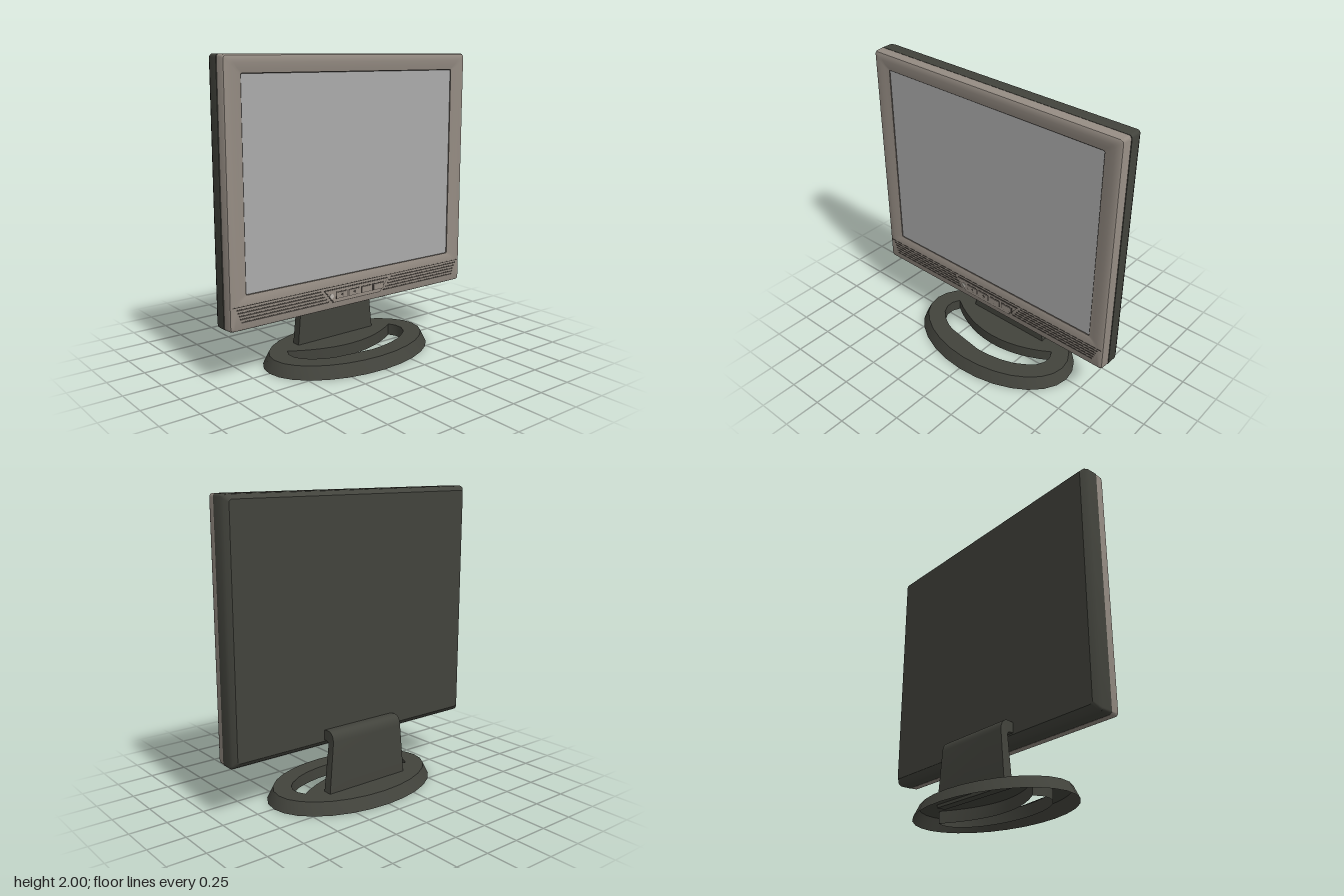
import * as THREE from 'three';
import { toCreasedNormals } from 'three/addons/utils/BufferGeometryUtils.js';

const flat = (name, color, side = THREE.FrontSide) => {
  const m = new THREE.MeshStandardMaterial({ color, side });
  m.name = name;
  return m;
};

// Rounded rectangle loop, counterclockwise seen from the front
function ring([halfW, y0, y1, r, z], segments = 4) {
  const points = [];
  const corners = [[halfW - r, y0 + r], [halfW - r, y1 - r], [r - halfW, y1 - r], [r - halfW, y0 + r]];
  corners.forEach(([cx, cy], k) => {
    for (let i = 0; i <= segments; i++) {
      const a = (k - 1 + i / segments) * Math.PI / 2;
      points.push([cx + r * Math.cos(a), cy + r * Math.sin(a), z]);
    }
  });
  return points;
}

// Skin joining successive rounded rectangles
function loft(sections) {
  const rings = sections.map(s => ring(s));
  const n = rings[0].length, index = [];
  for (let i = 0; i < rings.length - 1; i++) {
    for (let j = 0; j < n; j++) {
      const a = i * n + j, b = i * n + (j + 1) % n;
      index.push(a, b, b + n, a, b + n, a + n);
    }
  }
  const g = new THREE.BufferGeometry();
  g.setAttribute('position', new THREE.Float32BufferAttribute(rings.flat(2), 3));
  g.setIndex(index);
  return toCreasedNormals(g, 0.5);
}

const polygon = pts => new THREE.Shape(pts.map(p => new THREE.Vector2(...p)));

// Thin plate facing the front
function plate(pts, z, depth = 0.004) {
  return new THREE.ExtrudeGeometry(polygon(pts), { depth, bevelEnabled: false }).translate(0, 0, z);
}
const rect = (x0, x1, y0, y1) => [[x0, y0], [x1, y0], [x1, y1], [x0, y1]];

export function createModel() {
  const dark = flat('charcoal plastic', 0x42433c);
  const darkShell = flat('charcoal shell', 0x42433c, THREE.DoubleSide);
  const taupe = flat('taupe plastic', 0x958c83);
  const glass = flat('grey screen', 0xaaaaaa);
  const slot = flat('dark slot', 0x47423d);
  const pale = flat('pale lamp', 0xbdb8b0);

  const model = new THREE.Group();
  model.name = 'monitor';
  const add = (name, geometry, material, parent = model) => {
    const mesh = new THREE.Mesh(geometry, material);
    mesh.name = name;
    parent.add(mesh);
    return mesh;
  };

  // Display housing
  add('backShell', loft([
    [0, 1.18, 1.18, 0, -0.085],
    [0.93, 0.405, 1.97, 0.02, -0.085],
    [0.955, 0.375, 1.995, 0.02, -0.06],
    [0.963, 0.365, 2.0, 0.02, -0.04],
    [0.963, 0.365, 2.0, 0.02, 0.033],
    [0.94, 0.38, 1.98, 0.02, 0.033],
  ]), dark);
  add('bezel', loft([
    [0.94, 0.385, 1.98, 0.02, 0.036],
    [0.96, 0.365, 2.0, 0.02, 0.036],
    [0.957, 0.366, 1.998, 0.02, 0.085],
    [0.952, 0.371, 1.992, 0.02, 0.096],
    [0.94, 0.383, 1.98, 0.02, 0.102],
    [0.905, 0.535, 1.95, 0.02, 0.102],
    [0.875, 0.558, 1.922, 0.015, 0.098],
    [0.842, 0.577, 1.893, 0.012, 0.092],
  ]), taupe);
  add('screenGasket', loft([
    [0.842, 0.577, 1.893, 0.012, 0.092],
    [0.836, 0.583, 1.887, 0.01, 0.086],
  ]), slot);
  add('screen', plate(rect(-0.837, 0.837, 0.582, 1.888), 0.081, 0.005), glass);

  // Lower trim: seam and mirrored speaker slots
  const face = 0.1005;
  add('trimSeam', plate(rect(-0.94, 0.94, 0.516, 0.521), face, 0.003), slot);
  const grille = new THREE.Group();
  grille.name = 'speakerGrille';
  model.add(grille);
  for (const side of [-1, 1]) {
    for (let i = 0; i < 5; i++) {
      const y = 0.5 - i * 0.02;
      const inner = 0.22 + (y - 0.407) * 0.78, outer = 0.915 - i * 0.008;
      const x = [side * inner, side * outer].sort((a, b) => a - b);
      add('grilleSlot', plate(rect(x[0], x[1], y - 0.0045, y + 0.0045), face, 0.003), slot, grille);
    }
  }

  // Control panel with an outlined tray, lamp and four buttons
  const controls = new THREE.Group();
  controls.name = 'controlPanel';
  model.add(controls);
  const tray = inset => [[-0.2 + inset, 0.41 + inset], [0.2 - inset, 0.41 + inset],
    [0.272 - inset * 1.6, 0.503 - inset], [-0.272 + inset * 1.6, 0.503 - inset]];
  add('panelOutline', plate(tray(0), face, 0.004), slot, controls);
  add('panelTray', plate(tray(0.006), face, 0.006), taupe, controls);
  const lamp = new THREE.CylinderGeometry(0.016, 0.016, 0.006, 16).rotateX(Math.PI / 2);
  add('powerLamp', lamp.translate(-0.212, 0.457, 0.106), pale, controls);
  for (let i = 0; i < 4; i++) {
    const x = -0.13 + i * 0.103;
    add('buttonGap', plate(rect(x - 0.046, x + 0.046, 0.434, 0.481), 0.104, 0.004), slot, controls);
    add('button', plate(rect(x - 0.041, x + 0.041, 0.439, 0.476), 0.104, 0.008), taupe, controls);
    if (i < 2) {
      add('buttonArrow', plate([[x - 0.014, 0.458], [x + 0.01, 0.447], [x + 0.01, 0.469]], 0.111, 0.002), slot, controls);
    }
  }

  // Hooked neck: side profile extruded across, wider toward the foot
  const hook = new THREE.Shape();
  hook.moveTo(-0.125, 0.06);
  hook.lineTo(-0.13, 0.39);
  hook.quadraticCurveTo(-0.13, 0.415, -0.105, 0.415);
  hook.lineTo(-0.075, 0.415);
  hook.lineTo(-0.075, 0.48);
  hook.lineTo(-0.125, 0.487);
  hook.quadraticCurveTo(-0.178, 0.487, -0.182, 0.42);
  hook.lineTo(-0.187, 0.06);
  const neck = new THREE.ExtrudeGeometry(hook, { depth: 2, bevelEnabled: false, curveSegments: 8 })
    .translate(0, 0, -1).rotateY(-Math.PI / 2);
  const np = neck.attributes.position;
  for (let i = 0; i < np.count; i++) {
    const x = np.getX(i), y = np.getY(i), z = np.getZ(i);
    const half = THREE.MathUtils.mapLinear(Math.min(y, 0.4), 0.08, 0.4, 0.317, 0.285);
    np.setXYZ(i, x * half, y, z);
  }
  add('neck', toCreasedNormals(neck, 0.6), dark);

  // Foot: hollow oval ring with a crescent opening in front of the neck
  const oval = [], opening = [];
  for (let i = 0; i < 28; i++) {
    const a = i / 28 * Math.PI * 2;
    oval.push([0.63 * Math.cos(a), 0.4 * Math.sin(a)]);
  }
  for (let i = 0; i <= 16; i++) {
    const a = THREE.MathUtils.lerp(-0.35, Math.PI + 0.35, i / 16);
    opening.push([0.465 * Math.cos(a), 0.235 * Math.sin(a)]);
  }
  for (let i = 1; i < 12; i++) {
    const x = THREE.MathUtils.lerp(-0.437, 0.437, i / 12);
    opening.push([x, 0.06 - 0.14 * (x / 0.437) ** 2]);
  }
  const footShape = polygon(oval);
  footShape.holes.push(polygon(opening));
  const foot = new THREE.ExtrudeGeometry(footShape, { depth: 0.08, bevelEnabled: false })
    .rotateX(Math.PI / 2).translate(0, 0.08, 0);
  // After turning, the shape's y runs along z; drop the underside and slope the outer wall
  const fp = foot.attributes.position, kept = [];
  for (let i = 0; i < fp.count; i += 3) {
    const tri = [i, i + 1, i + 2].map(k => new THREE.Vector3().fromBufferAttribute(fp, k));
    if (tri.every(v => v.y < 0.01)) continue;
    for (const v of tri) {
      const outer = Math.hypot(v.x / 0.63, v.z / 0.4) > 0.95;
      if (outer && v.y > 0.07) { v.x *= 0.937; v.z *= 0.9; }
      kept.push(v.x, v.y, v.z);
    }
  }
  const footGeometry = new THREE.BufferGeometry();
  footGeometry.setAttribute('position', new THREE.Float32BufferAttribute(kept, 3));
  add('foot', toCreasedNormals(footGeometry, 0.5), darkShell);

  return model;
}
